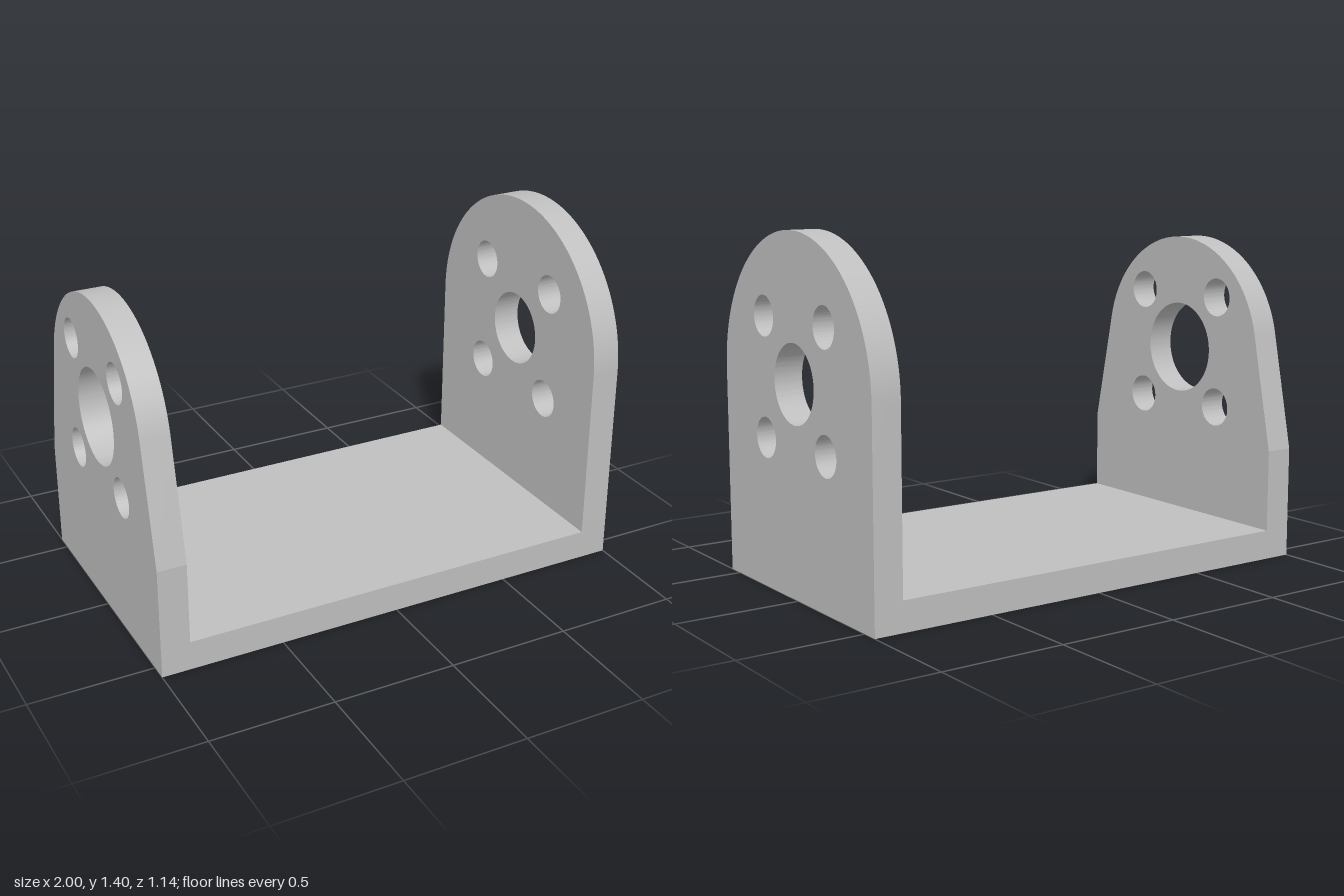
import * as THREE from 'three';
import { toCreasedNormals } from 'three/addons/utils/BufferGeometryUtils.js';

const HALF_DEPTH = 0.57;   // half size along z
const WALL = 0.117;        // side plate thickness
const FLOOR = 0.12;        // base plate thickness
const AXIS_Y = 0.83;       // height of the bore axis
const BOLT = 0.235;        // bolt hole offset from the axis

// Upright with a round top; straight to shoulderY, then tangent to the arc
function plateGeometry(radius, shoulderY, boreRadius) {
  const drop = AXIS_Y - shoulderY;
  const reach = Math.hypot(HALF_DEPTH, drop);
  const start = Math.acos(Math.min(1, radius / reach)) - Math.atan2(drop, HALF_DEPTH);

  const shape = new THREE.Shape();
  shape.moveTo(-HALF_DEPTH, 0);
  shape.lineTo(HALF_DEPTH, 0);
  if (drop > 0) shape.lineTo(HALF_DEPTH, shoulderY);
  shape.absarc(0, AXIS_Y, radius, start, Math.PI - start, false);
  if (drop > 0) shape.lineTo(-HALF_DEPTH, shoulderY);
  shape.closePath();

  const addHole = (x, y, r) => {
    const hole = new THREE.Path();
    hole.absarc(x, y, r, 0, Math.PI * 2, true);
    shape.holes.push(hole);
  };
  addHole(0, AXIS_Y, boreRadius);
  for (const sx of [-1, 1]) {
    for (const sy of [-1, 1]) addHole(sx * BOLT, AXIS_Y + sy * BOLT, 0.08);
  }

  const geometry = new THREE.ExtrudeGeometry(shape, {
    depth: WALL, bevelEnabled: false, curveSegments: 64,
  });
  geometry.rotateY(Math.PI / 2);
  return toCreasedNormals(geometry, 0.15);
}

export function createModel() {
  const group = new THREE.Group();
  group.name = 'bracket';
  const metal = new THREE.MeshStandardMaterial({ color: 0xbfbfbf });
  metal.name = 'light grey metal';

  const add = (name, geometry, x, y) => {
    const mesh = new THREE.Mesh(geometry, metal);
    mesh.name = name;
    mesh.position.set(x, y, 0);
    group.add(mesh);
  };

  // Base between the two uprights
  add('basePlate', new THREE.BoxGeometry(2 - 2 * WALL, FLOOR, 2 * HALF_DEPTH), 0, FLOOR / 2);
  // Tall upright with straight sides
  add('leftPlate', plateGeometry(HALF_DEPTH, AXIS_Y, 0.155), 1 - WALL, 0);
  // Shorter upright with tapered sides and a wider bore
  add('rightPlate', plateGeometry(0.48, 0.455, 0.193), -1, 0);

  return group;
}
